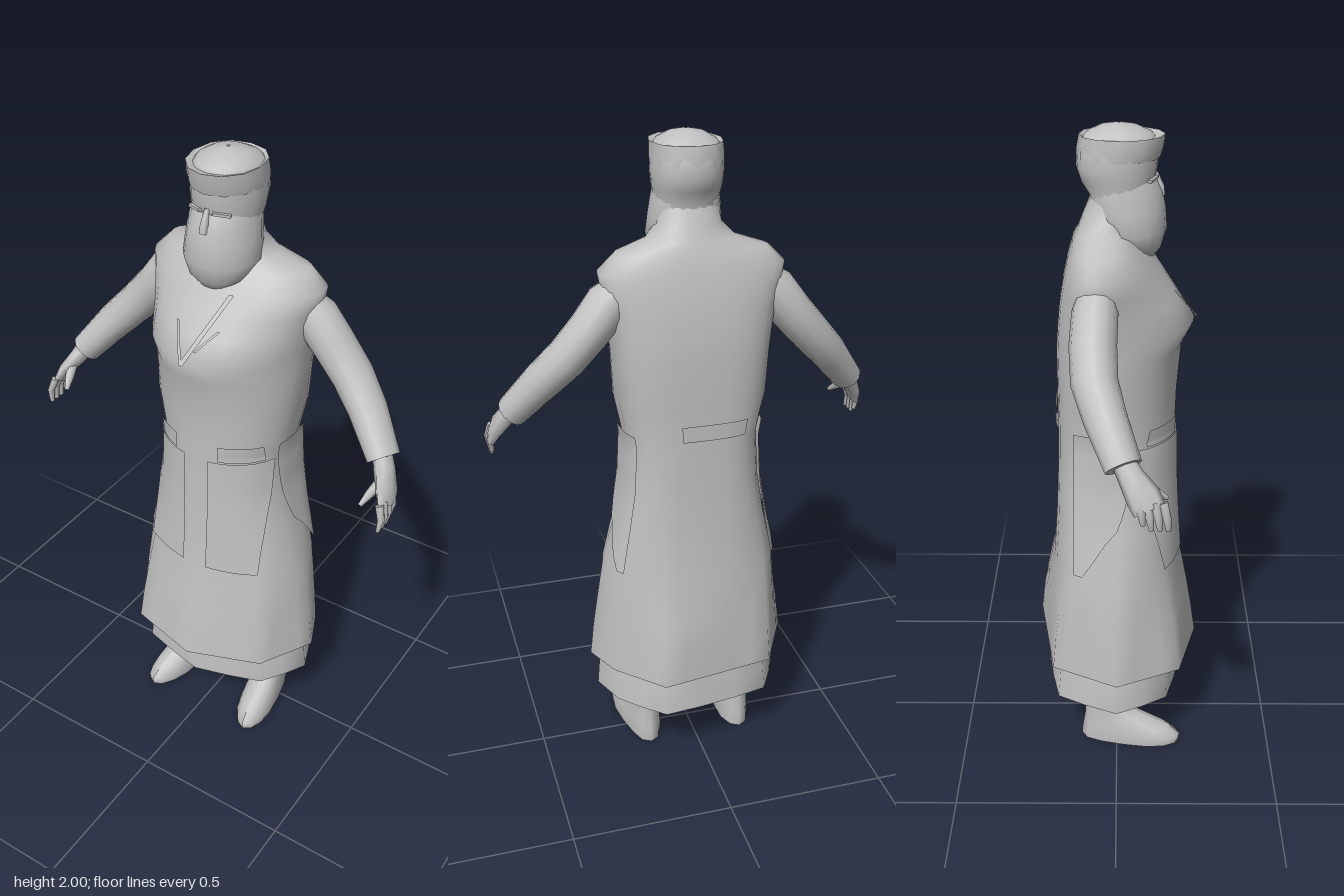
import * as THREE from 'three';

const grey = new THREE.MeshStandardMaterial({ color: 0xc0c0c0, side: THREE.DoubleSide });
grey.name = 'plain grey';

// Skin a surface over rows of points (rows run along the shape, points run around it)
function skin(rows, capStart = false, capEnd = false) {
  const n = rows[0].length, pos = [], idx = [];
  rows.forEach(r => r.forEach(p => pos.push(p.x, p.y, p.z)));
  for (let i = 0; i < rows.length - 1; i++) for (let j = 0; j < n - 1; j++) {
    const a = i * n + j, b = a + 1, c = a + n, d = c + 1;
    idx.push(a, b, d, a, d, c);
  }
  const cap = (row, flip) => {
    const base = pos.length / 3, mid = new THREE.Vector3();
    row.slice(1).forEach(p => mid.addScaledVector(p, 1 / (n - 1)));
    [mid, ...row].forEach(p => pos.push(p.x, p.y, p.z));
    for (let j = 1; j < n; j++) flip ? idx.push(base, base + j + 1, base + j) : idx.push(base, base + j, base + j + 1);
  };
  if (capStart) cap(rows[0], true);
  if (capEnd) cap(rows[rows.length - 1], false);
  const g = new THREE.BufferGeometry();
  g.setAttribute('position', new THREE.Float32BufferAttribute(pos, 3));
  g.setIndex(idx);
  g.computeVertexNormals();
  // make the normals agree across the closing seam
  const nm = g.attributes.normal, v = new THREE.Vector3(), w = new THREE.Vector3();
  rows.forEach((r, i) => {
    if (r[0].distanceTo(r[n - 1]) > 1e-5) return;
    v.fromBufferAttribute(nm, i * n).add(w.fromBufferAttribute(nm, i * n + n - 1)).normalize();
    nm.setXYZ(i * n, v.x, v.y, v.z);
    nm.setXYZ(i * n + n - 1, v.x, v.y, v.z);
  });
  return g;
}

// Corners of the folded hem as [step of 32 around, x, z], as shares of half width and depth
const FOLDS = [[0, 0, 1], [4, 0.71, 0.67], [8, 1, 0], [10, 0.84, -0.46], [14, 0.43, -1],
  [20, -0.68, -0.78], [24, -1, 0], [28, -0.71, 0.77], [32, 0, 1]];
function folded(a) {
  const t = ((a / (Math.PI * 2)) % 1 + 1) % 1 * 32, k = Math.max(1, FOLDS.findIndex(f => f[0] >= t));
  const p = FOLDS[k - 1], q = FOLDS[k], u = (t - p[0]) / (q[0] - p[0]);
  return [p[1] + (q[1] - p[1]) * u, p[2] + (q[2] - p[2]) * u];
}

// Point on an upright body
// row = [y, half width, front z, back z, widest z, front point, back boxiness, share of folds]
function around([y, w, zf, zb, cz = (zf + zb) / 2, point = 1, box = 0.9, fold = 0], a, offset = 0) {
  const s = Math.sin(a), c = Math.cos(a), [fx, fz] = folded(a), mix = THREE.MathUtils.lerp;
  const x = Math.sign(s) * Math.abs(s) ** (c > 0 ? 1 : box);
  const z = Math.sign(c) * Math.abs(c) ** (c > 0 ? point : box);
  const depth = c > 0 ? zf - cz : cz - zb;
  return new THREE.Vector3(mix(x, fx, fold) * (w + offset), y, cz + mix(z, fz, fold) * (depth + offset));
}
function upright(rows, sides = 20, capStart, capEnd) {
  return skin(rows.map(r => Array.from({ length: sides + 1 },
    (_, j) => around(r, (j % sides) / sides * Math.PI * 2))), capStart, capEnd);
}

// Limb through points [x, y, z, radius across, radius along z]; s mirrors it
function limb(pts, s = 1, sides = 10) {
  const p = pts.map(q => new THREE.Vector3(q[0] * s, q[1], q[2]));
  return skin(p.map((c, i) => {
    const t = p[Math.min(i + 1, p.length - 1)].clone().sub(p[Math.max(i - 1, 0)]).normalize();
    const u = new THREE.Vector3(0, 0, 1).cross(t).normalize(), v = t.clone().cross(u);
    return Array.from({ length: sides + 1 }, (_, j) => {
      const a = (j % sides) / sides * Math.PI * 2;
      return c.clone().addScaledVector(u, Math.cos(a) * pts[i][3]).addScaledVector(v, Math.sin(a) * pts[i][4]);
    });
  }), true, true);
}

const ROBE = [
  [0.315, 0.328, 0.26, -0.26, 0, 1, 0.8, 1], [0.42, 0.316, 0.245, -0.25, 0, 1, 0.8, 0.85],
  [0.52, 0.301, 0.228, -0.235, 0, 1, 0.8, 0.6], [0.66, 0.278, 0.2, -0.205, 0, 1, 0.75, 0.2],
  [0.82, 0.236, 0.188, -0.19, 0, 1, 0.7, 0], [0.95, 0.212, 0.182, -0.184, 0, 1, 0.65, 0],
  [1.1, 0.204, 0.18, -0.18, 0, 1, 0.65, 0], [1.22, 0.23, 0.183, -0.18, -0.01, 1, 0.65, 0],
  [1.36, 0.238, 0.195, -0.18, -0.02, 1.1, 0.65, 0], [1.43, 0.245, 0.23, -0.175, -0.03, 1.15, 0.65, 0],
  [1.5, 0.254, 0.185, -0.168, -0.045, 1.1, 0.7, 0], [1.56, 0.268, 0.145, -0.158, -0.055, 1.05, 0.75, 0],
  [1.62, 0.28, 0.105, -0.145, -0.06, 1, 0.85, 0], [1.67, 0.23, 0.07, -0.13, -0.06, 1, 0.9, 0],
  [1.7, 0.135, 0.055, -0.115, -0.04, 1, 0.9, 0], [1.74, 0.097, 0.055, -0.1, -0.02, 1, 0.9, 0],
  [1.8, 0.088, 0.06, -0.075, 0, 1, 0.9, 0],
];
function robeRow(y) {
  const i = Math.max(1, ROBE.findIndex(r => r[0] >= y)), a = ROBE[i - 1], b = ROBE[i];
  const t = (y - a[0]) / (b[0] - a[0]);
  return a.map((v, k) => v + (b[k] - v) * t);
}
// Cloth patch on the robe; start and end give its edge angles at a robe row, s mirrors it
function patch(y0, y1, start, end, offset, s = 1) {
  return skin(Array.from({ length: 13 }, (_, i) => {
    const row = robeRow(y0 + (y1 - y0) * i / 12), a = start(row, i / 12), b = end(row, i / 12);
    return Array.from({ length: 7 }, (_, j) => around(row, s > 0 ? a + (b - a) * j / 6 : -b + (b - a) * j / 6, offset));
  }));
}
// Edge that stays at one x on the front of the robe
const atX = x => row => Math.asin(Math.min(1, x / row[1]));

// Narrow strip between two [x, y] points on the chest
function chestStrip(from, to, width) {
  return skin(Array.from({ length: 7 }, (_, i) => {
    const t = i / 6, x = from[0] + (to[0] - from[0]) * t, row = robeRow(from[1] + (to[1] - from[1]) * t);
    return [-0.5, 0.5].map(k => around(row, Math.asin((x + k * width) / row[1]), 0.009));
  }));
}

export function createModel() {
  const model = new THREE.Group();
  const add = (name, geometry) => {
    const m = new THREE.Mesh(geometry, grey);
    m.name = name;
    model.add(m);
    return m;
  };

  // Robe, its hem underside and the skirt beneath
  add('robe', upright(ROBE, 32));
  add('hemUnderside', upright([[0.335, 0.27, 0.2, -0.22, 0, 1, 0.8, 1], ROBE[0]], 32));
  add('underskirt', upright([[0.195, 0.307, 0.212, -0.243, 0, 1, 0.8, 0.8], [0.3, 0.298, 0.207, -0.232, 0, 1, 0.8, 0.8],
    [0.4, 0.275, 0.195, -0.215, 0, 1, 0.8, 0.8]], 16, true));

  // Crossed collar edges
  add('collarLeft', chestStrip([-0.01, 1.43], [0.075, 1.62], 0.014));
  add('collarRight', chestStrip([-0.01, 1.43], [-0.06, 1.53], 0.01));
  add('collarInner', chestStrip([0.02, 1.47], [0.07, 1.53], 0.008));

  // Short sash across the back
  add('backSash', patch(1.12, 1.17, () => Math.PI - 0.15, () => Math.PI + 0.5, 0.008));

  for (const s of [1, -1]) {
    const side = s > 0 ? 'left' : 'right';
    add(side + 'FrontPanel', patch(0.67, 1.08, atX(0.04), atX(0.195), 0.008, s));
    add(side + 'WaistTab', patch(1.085, 1.14, atX(0.07), atX(0.18), 0.008, s));
    // Side pocket with a curved front edge, narrowing to its bottom
    add(side + 'SidePocket', patch(0.675, 1.13, (_, t) => 1.3 + 0.7 * (1 - t) ** 2.4, () => 2.15, 0.009, s));

    // Sleeve and cuff
    add(side + 'Sleeve', limb([
      [0.2, 1.575, -0.055, 0.05, 0.05], [0.25, 1.53, -0.06, 0.068, 0.065], [0.31, 1.455, -0.065, 0.064, 0.067],
      [0.38, 1.375, -0.06, 0.061, 0.066], [0.45, 1.3, -0.03, 0.057, 0.061], [0.535, 1.195, 0.02, 0.048, 0.053],
    ], s, 12));

    // Hand with curled fingers and thumb
    add(side + 'Hand', limb([
      [0.525, 1.215, 0.015, 0.027, 0.032], [0.55, 1.175, 0.04, 0.028, 0.037],
      [0.577, 1.13, 0.072, 0.021, 0.048], [0.59, 1.095, 0.09, 0.014, 0.046],
    ], s, 8));
    for (let f = 0; f < 4; f++) {
      const z = 0.058 + f * 0.023, d = f === 0 ? 0.015 : 0;
      add(side + 'Finger' + (f + 1), limb([
        [0.585, 1.115, z, 0.014, 0.014], [0.598, 1.075 + d, z + 0.01, 0.011, 0.013], [0.593, 1.035 + d, z + 0.015, 0.006, 0.008],
      ], s, 6));
    }
    add(side + 'Thumb', limb([
      [0.56, 1.16, 0.06, 0.017, 0.018], [0.542, 1.125, 0.108, 0.013, 0.014], [0.53, 1.1, 0.14, 0.006, 0.007],
    ], s, 6));

    // Leg running down into a flat shoe turned slightly outward
    const shoe = upright([
      [0, 0.058, 0.205, -0.115, 0.07], [0.025, 0.06, 0.208, -0.115, 0.07], [0.055, 0.055, 0.17, -0.11, 0.04],
      [0.09, 0.048, 0.09, -0.105, 0], [0.13, 0.04, 0.015, -0.102, -0.04], [0.18, 0.04, -0.005, -0.1, -0.05],
      [0.3, 0.046, 0.005, -0.1, -0.05],
    ], 14, true);
    const p = shoe.attributes.position;
    for (let i = 0; i < p.count; i++) p.setX(i, p.getX(i) + s * (0.155 + 0.14 * Math.max(0, p.getZ(i) + 0.03)));
    shoe.computeVertexNormals();
    add(side + 'LegAndShoe', shoe);

    // Brow
    const brow = add(side + 'Brow', new THREE.BoxGeometry(0.05, 0.008, 0.016));
    brow.position.set(s * 0.042, 1.85, 0.1);
    brow.rotation.set(0, s * 0.42, s * -0.08);
  }

  // Head
  add('head', upright([
    [1.68, 0.1, 0.06, -0.1], [1.76, 0.092, 0.09, -0.085], [1.8, 0.094, 0.1, -0.078], [1.84, 0.101, 0.108, -0.104],
    [1.88, 0.105, 0.115, -0.117], [1.92, 0.104, 0.117, -0.114], [1.95, 0.1, 0.115, -0.106], [1.972, 0.085, 0.1, -0.088],
    [1.99, 0.052, 0.06, -0.05], [2.0, 0.004, 0.009, 0.001],
  ], 20));
  // Long beard over the lower face, running back into the neck
  add('beard', upright([
    [1.6, 0.012, 0.09, 0.065], [1.618, 0.05, 0.105, 0.02], [1.65, 0.09, 0.13, -0.03], [1.7, 0.113, 0.144, -0.06, 0.03],
    [1.76, 0.107, 0.14, -0.075, 0.02], [1.81, 0.101, 0.13, -0.075, 0.01], [1.845, 0.094, 0.113, -0.07, 0.01],
  ], 18, true, true));
  add('nose', limb([[0, 1.795, 0.125, 0.016, 0.014], [0, 1.82, 0.123, 0.013, 0.013], [0, 1.86, 0.108, 0.007, 0.008]], 1, 6));
  // Close headband standing proud at the front
  add('headband', upright([[1.905, 0.106, 0.122, -0.115], [1.93, 0.108, 0.13, -0.115], [1.968, 0.106, 0.136, -0.108]], 12));
  add('headbandRim', upright([[1.968, 0.106, 0.136, -0.108], [1.96, 0.092, 0.106, -0.097]], 12));
  return model;
}
